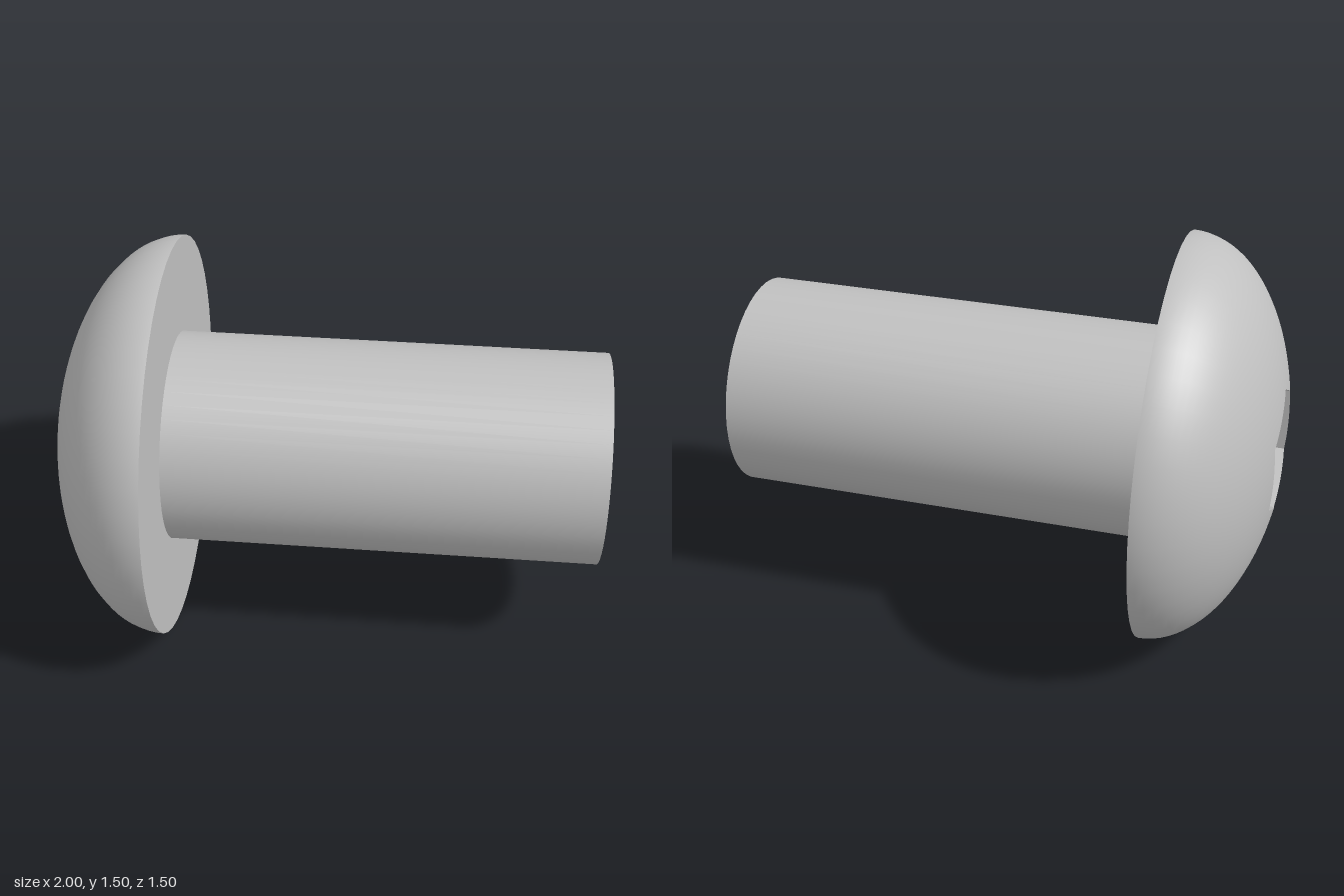
import * as THREE from 'three';

const HEAD_R = 0.7525, DOME_H = 0.428, SHANK_R = 0.394, SHANK_L = 1.59;
const HEX_R = 0.25, HEX_A = HEX_R * Math.cos(Math.PI / 6), FLOOR = 0.19;
const SEGS = 48;

// distance from the axis to the hexagon's outline at an angle
function hexRadius(phi) {
  const step = Math.PI / 3;
  return HEX_A / Math.cos(phi - Math.round(phi / step) * step);
}

// lathe-like grid whose points follow rule(phi, t) -> [radius, height]
function sweep(rows, rule) {
  const blank = Array.from({ length: rows + 1 }, (_, j) => new THREE.Vector2(1, j));
  const geo = new THREE.LatheGeometry(blank, SEGS);
  const pos = geo.attributes.position;
  for (let i = 0; i <= SEGS; i++) {
    const phi = (i / SEGS) * Math.PI * 2;
    for (let j = 0; j <= rows; j++) {
      const [r, y] = rule(phi, j / rows);
      pos.setXYZ(i * (rows + 1) + j, r * Math.sin(phi), y, r * Math.cos(phi));
    }
  }
  return geo;
}

export function createModel() {
  const steel = new THREE.MeshStandardMaterial({ color: 0xc0c0c0 });
  steel.name = 'steel grey';

  // built upright with the underside of the head at y = 0, then laid on its side
  const bolt = new THREE.Group();
  bolt.name = 'bolt';
  const add = (name, geo) => {
    const mesh = new THREE.Mesh(geo, steel);
    mesh.name = name;
    bolt.add(mesh);
    return mesh;
  };

  // elliptical dome, from the rim up to the hexagonal opening
  const dome = sweep(20, (phi, t) => {
    const a = t * Math.acos(hexRadius(phi) / HEAD_R);
    return [HEAD_R * Math.cos(a), DOME_H * Math.sin(a)];
  });
  const p = dome.attributes.position, n = new THREE.Vector3();
  for (let i = 0; i < p.count; i++) {
    n.set(p.getX(i) / HEAD_R ** 2, p.getY(i) / DOME_H ** 2, p.getZ(i) / HEAD_R ** 2).normalize();
    dome.attributes.normal.setXYZ(i, n.x, n.y, n.z);
  }
  add('headDome', dome);

  // flat underside of the head
  add('headUnderside', new THREE.RingGeometry(SHANK_R, HEAD_R, SEGS).rotateX(Math.PI / 2));

  // hex socket: flat walls from the dome edge down to the floor
  const walls = sweep(1, (phi, t) => {
    const r = hexRadius(phi);
    return [r, t ? FLOOR : DOME_H * Math.sqrt(1 - (r / HEAD_R) ** 2)];
  }).toNonIndexed();
  walls.computeVertexNormals();
  add('socketWalls', walls);
  add('socketFloor', new THREE.CircleGeometry(HEX_R, 6).rotateX(-Math.PI / 2)).position.y = FLOOR;

  // plain shank
  add('shank', new THREE.CylinderGeometry(SHANK_R, SHANK_R, SHANK_L, SEGS)).position.y = -SHANK_L / 2;

  // head points to -x, shank to +x
  bolt.rotation.z = Math.PI / 2;
  bolt.position.set(-0.59, HEAD_R, 0);
  const model = new THREE.Group();
  model.name = 'buttonHeadBolt';
  model.add(bolt);
  return model;
}
